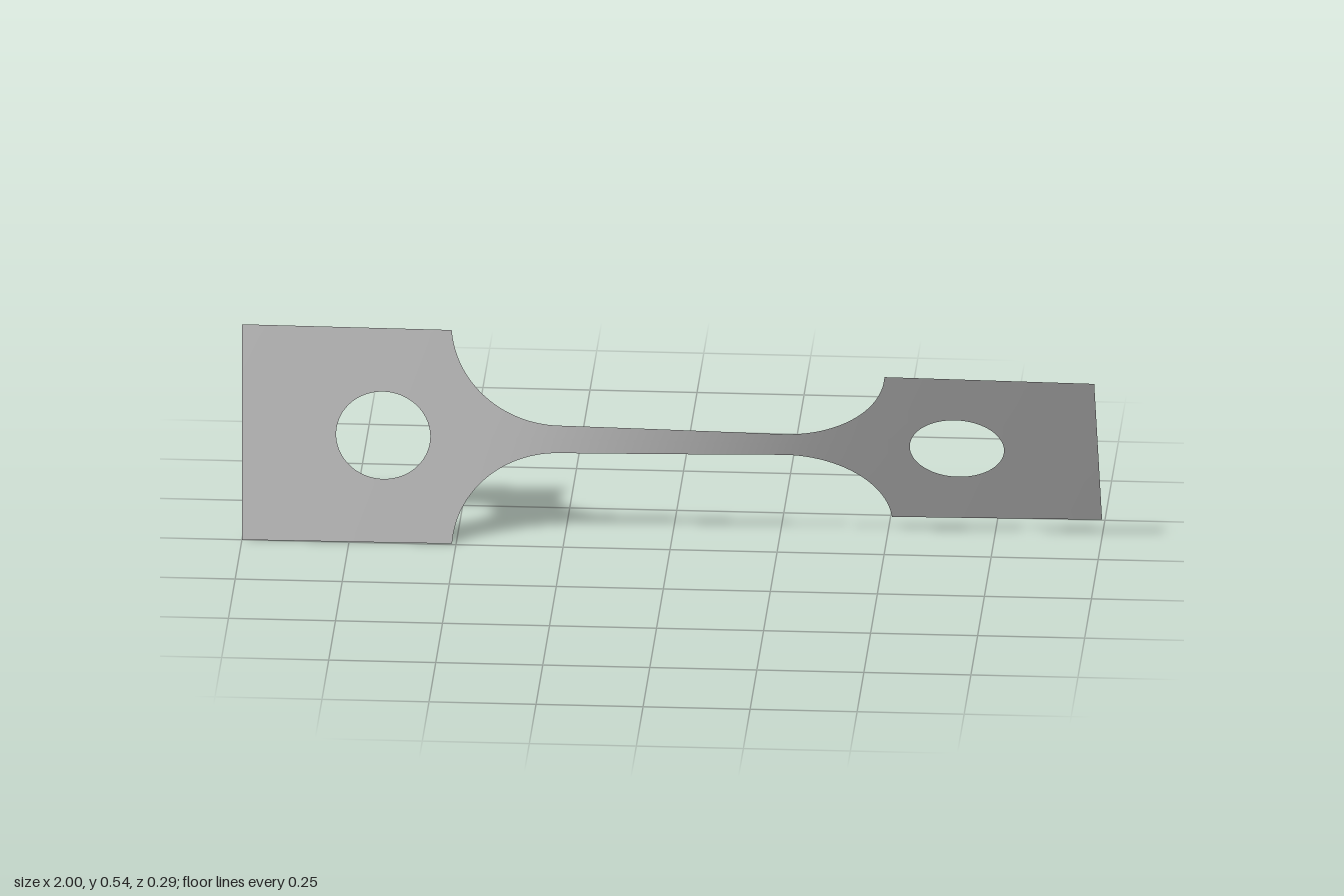
import * as THREE from 'three';
import { mergeVertices } from 'three/addons/utils/BufferGeometryUtils.js';

const HALF_TAB = 0.27, HALF_NECK = 0.036, FILLET = 0.25;
const TAB_X = 0.51, FILLET_X = 0.26, HOLE_X = 0.67, HOLE_R = 0.11;
const TWIST = THREE.MathUtils.degToRad(32.6);

// Half width of the strip: wide tabs, round fillets, narrow neck
function halfWidth(x) {
  const d = Math.abs(x) - FILLET_X;
  if (Math.abs(x) >= TAB_X - 1e-6) return HALF_TAB;
  if (d <= 0) return HALF_NECK;
  return Math.min(HALF_TAB, HALF_NECK + FILLET - Math.sqrt(FILLET * FILLET - d * d));
}

// Half height of the round hole at x
function holeHalf(x) {
  const d = Math.abs(x) - HOLE_X;
  return Math.sqrt(Math.max(0, HOLE_R * HOLE_R - d * d));
}

// Stations along one half of the strip, denser along the curves
function stations() {
  const half = [];
  for (let i = 0; i < 16; i++) half.push(FILLET_X * i / 16);
  for (let i = 0; i < 32; i++) half.push(FILLET_X + (TAB_X - FILLET_X) * Math.sin(Math.PI / 2 * i / 32));
  half.push(TAB_X);
  for (let i = 0; i <= 48; i++) half.push(HOLE_X - HOLE_R * Math.cos(Math.PI * i / 48));
  for (let i = 1; i <= 6; i++) half.push(HOLE_X + HOLE_R + (1 - HOLE_X - HOLE_R) * i / 6);
  return [...half.slice(1).reverse().map(x => -x), ...half];
}

// Twist angle at each station: narrow sections twist most
function twistAngles(xs) {
  const sums = [0];
  for (let i = 1; i < xs.length; i++) {
    const w = 2 * halfWidth((xs[i] + xs[i - 1]) / 2);
    sums.push(sums[i - 1] + (xs[i] - xs[i - 1]) / Math.pow(w, 1.4));
  }
  return sums.map(s => TWIST * s / sums[sums.length - 1]);
}

// Upper and lower rows of quads, parted by the holes
function twistedStrip() {
  const xs = stations(), angles = twistAngles(xs), rows = 8;
  const positions = [], index = [];
  for (const side of [1, -1]) {
    const base = positions.length / 3;
    xs.forEach((x, i) => {
      const inner = holeHalf(x), outer = halfWidth(x);
      for (let j = 0; j <= rows; j++) {
        const s = side * (inner + (outer - inner) * j / rows);
        positions.push(x, HALF_TAB + s * Math.cos(angles[i]), s * Math.sin(angles[i]));
        if (i === 0 || j === 0) continue;
        const d = base + i * (rows + 1) + j, c = d - 1, b = d - rows - 1, a = b - 1;
        if (side > 0) index.push(a, c, d, a, d, b);
        else index.push(a, d, c, a, b, d);
      }
    });
  }
  const geometry = new THREE.BufferGeometry();
  geometry.setAttribute('position', new THREE.Float32BufferAttribute(positions, 3));
  geometry.setIndex(index);
  const merged = mergeVertices(geometry, 1e-5);
  merged.computeVertexNormals();
  return merged;
}

export function createModel() {
  const group = new THREE.Group();
  group.name = 'twistedSpecimen';
  const metal = new THREE.MeshStandardMaterial({ color: 0xc0c0c0, side: THREE.DoubleSide });
  metal.name = 'lightGrey';
  const strip = new THREE.Mesh(twistedStrip(), metal);
  strip.name = 'twistedStrip';
  group.add(strip);
  return group;
}
